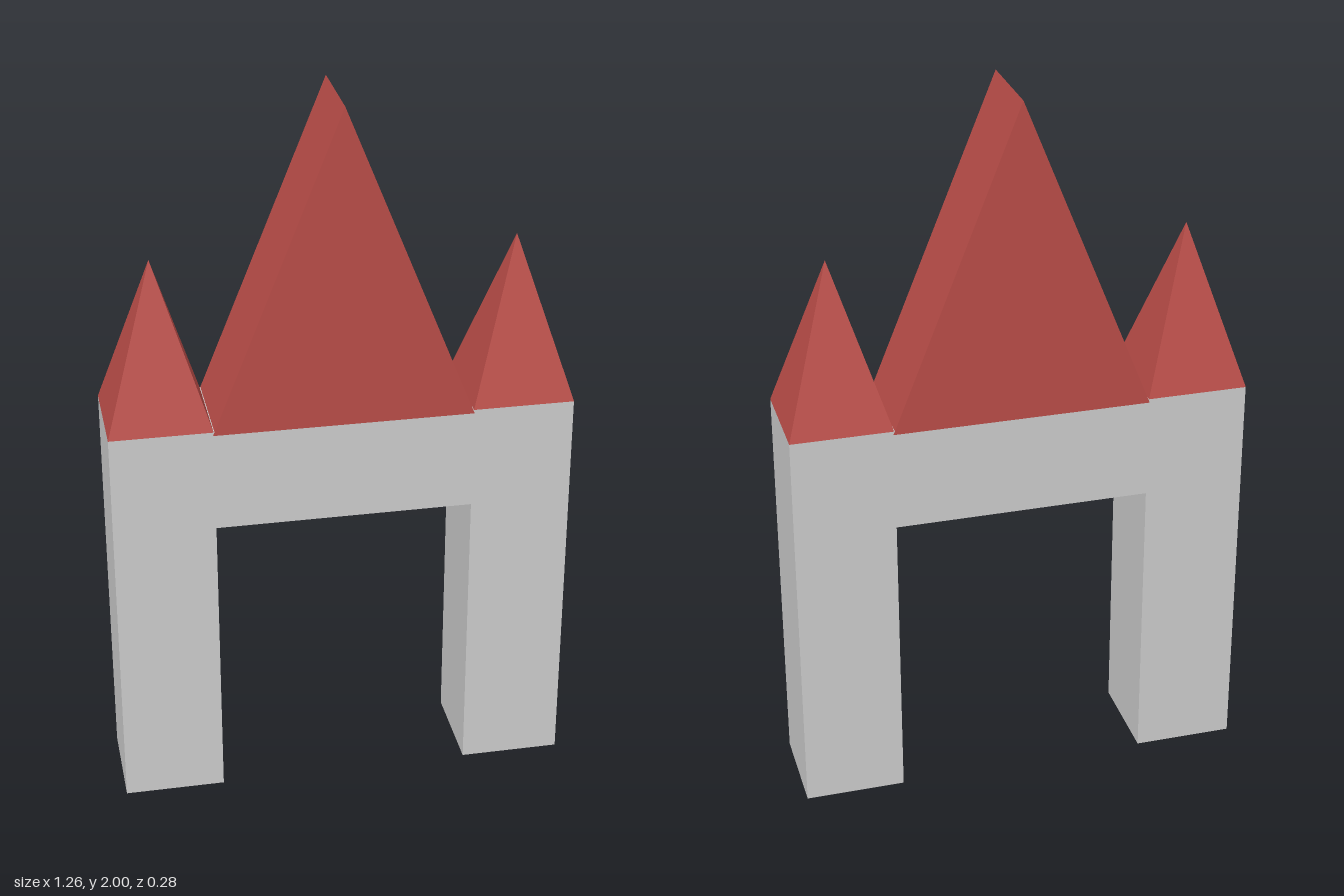
import * as THREE from 'three';

const grey = new THREE.MeshStandardMaterial({ color: 0xcccccc, flatShading: true });
const red = new THREE.MeshStandardMaterial({ color: 0xb84c47, flatShading: true });

const OUTER = 0.632, INNER = 0.353, WALL_TOP = 1.13, DEPTH = 0.277;

// Outline in the xy plane, extruded and centred on z = 0
function extrudeOutline(points, depth) {
  const shape = new THREE.Shape(points.map(([x, y]) => new THREE.Vector2(x, y)));
  const geometry = new THREE.ExtrudeGeometry(shape, { depth, bevelEnabled: false });
  return geometry.translate(0, 0, -depth / 2);
}

export function createModel() {
  const group = new THREE.Group();
  const add = (name, geometry, material) => {
    const mesh = new THREE.Mesh(geometry, material);
    mesh.name = name;
    group.add(mesh);
    return mesh;
  };

  // Two pillars joined by a lintel, in one outline
  add('archway', extrudeOutline([
    [-OUTER, 0], [-INNER, 0], [-INNER, 0.84], [INNER, 0.84], [INNER, 0],
    [OUTER, 0], [OUTER, WALL_TOP], [-OUTER, WALL_TOP],
  ], DEPTH), grey);

  // Central gable roof, its end faces leaning in slightly towards the ridge
  const base = 1.12, ridge = 2;
  const roof = extrudeOutline([[-0.355, base], [0.355, base], [0, ridge]], 0.28);
  const p = roof.attributes.position;
  for (let i = 0; i < p.count; i++) {
    const t = (p.getY(i) - base) / (ridge - base);
    p.setZ(i, p.getZ(i) * (1 - 0.07 * t));
  }
  roof.computeVertexNormals();
  add('gableRoof', roof, red);

  // Square pyramid roof over each pillar
  for (const [name, side] of [['leftSpire', 1], ['rightSpire', -1]]) {
    const height = 1.575 - WALL_TOP;
    const spire = new THREE.ConeGeometry(0.279 / Math.SQRT2, height, 4).rotateY(Math.PI / 4);
    add(name, spire, red).position.set(side * (OUTER + INNER) / 2, WALL_TOP + height / 2, 0);
  }

  return group;
}
